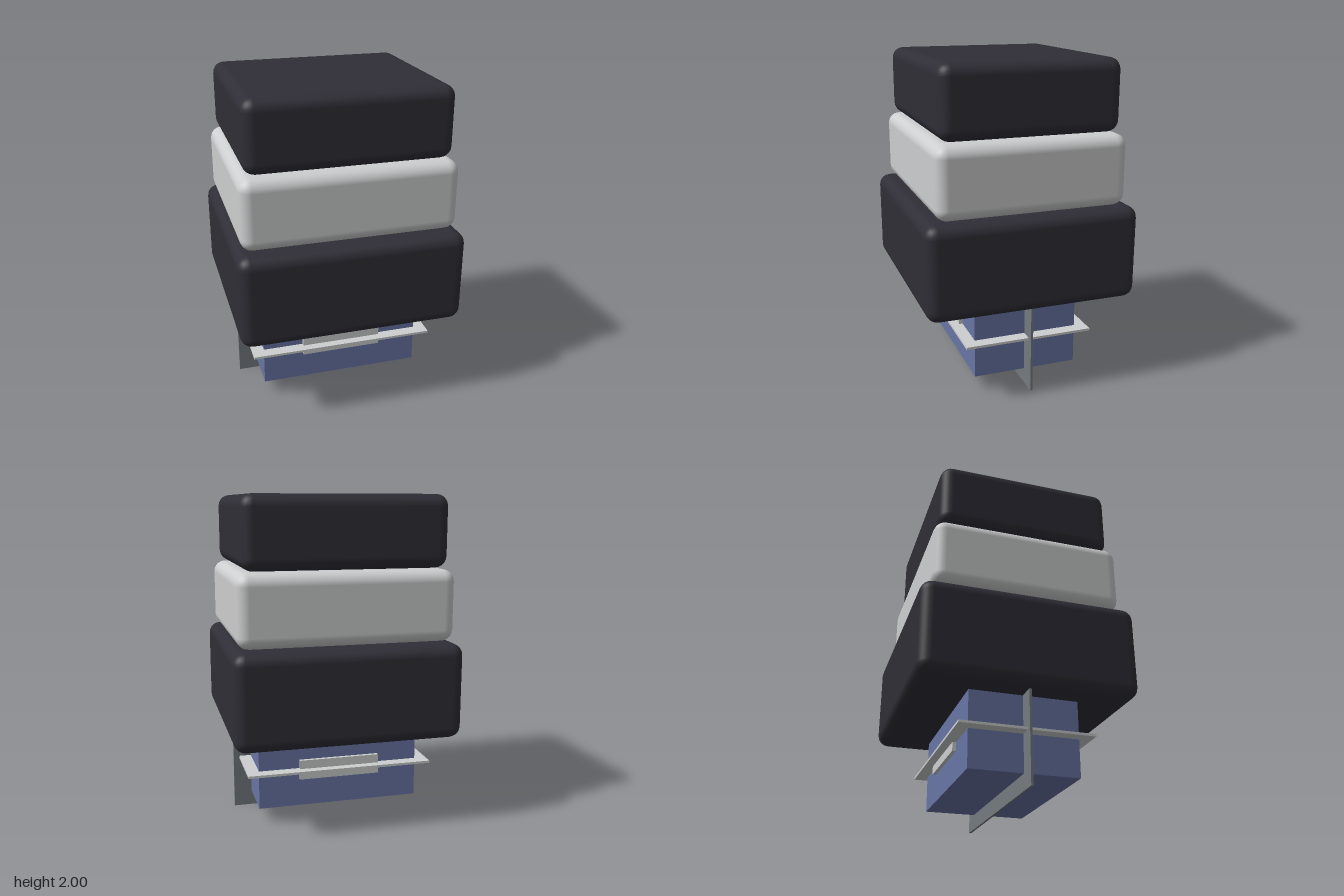
import * as THREE from 'three';
import { RoundedBoxGeometry } from 'three/addons/geometries/RoundedBoxGeometry.js';

const material = (name, color) => {
  const m = new THREE.MeshStandardMaterial({ color });
  m.name = name;
  return m;
};

export function createModel() {
  const model = new THREE.Group();
  model.name = 'stackedBlocks';
  const dark = material('charcoal', 0x2f2e37);
  const light = material('light grey', 0xcdcecf);
  const blue = material('slate blue', 0x6875a5);
  const grey = material('mid grey', 0x747a80);

  // Box centred on x and z, from y0 to y1; a radius rounds its edges
  const block = (name, w, d, y0, y1, mat, radius = 0) => {
    const geometry = radius
      ? new RoundedBoxGeometry(w, y1 - y0, d, 3, radius)
      : new THREE.BoxGeometry(w, y1 - y0, d);
    const mesh = new THREE.Mesh(geometry, mat);
    mesh.name = name;
    mesh.position.y = (y0 + y1) / 2;
    model.add(mesh);
    return mesh;
  };

  // Three soft-edged tiers
  block('lowerTier', 1.378, 1.306, 0.552, 1.129, dark, 0.072);
  block('middleTier', 1.304, 1.16, 1.134, 1.564, light, 0.072);
  block('upperTier', 1.232, 1.088, 1.57, 2, dark, 0.072);

  // Base core with an upright fin and a level shelf passing through it
  block('baseCore', 1.01, 0.654, 0.096, 0.56, blue);
  block('uprightFin', 1.232, 0.014, 0, 0.56, grey);
  block('levelShelf', 1.16, 0.8, 0.323, 0.338, light);

  // Raised panels on the front and back of the core
  for (const side of [1, -1]) {
    const panel = block(side > 0 ? 'frontPanel' : 'backPanel', 0.504, 0.03, 0.27, 0.392, light);
    panel.position.z = side * 0.334;
  }
  return model;
}
